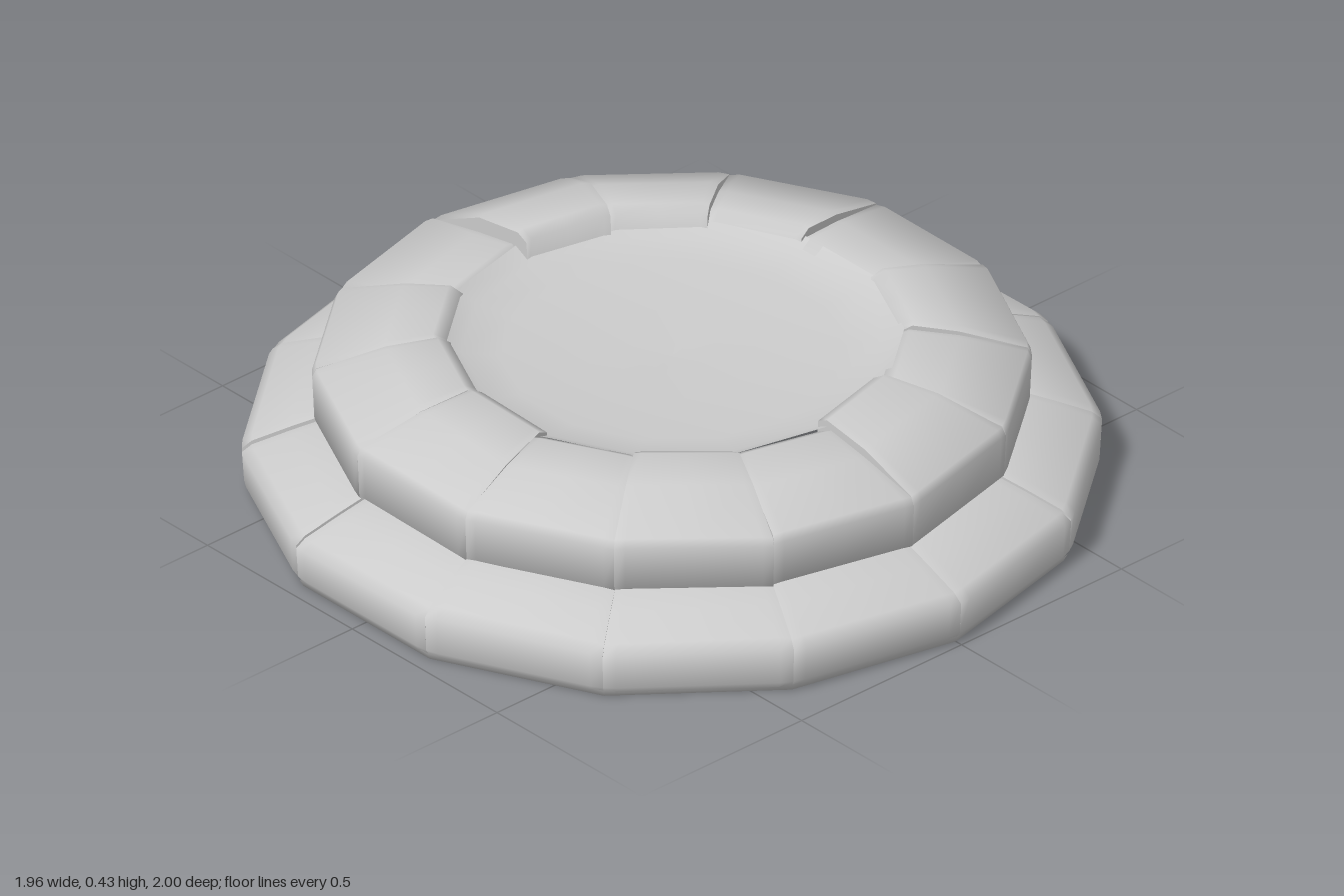
import * as THREE from 'three';
import { toCreasedNormals } from 'three/addons/utils/BufferGeometryUtils.js';

const SIDES = 14;
const material = new THREE.MeshStandardMaterial({ color: 0xcccccc });

// Small seeded generator for the uneven stones
function seeded(seed) {
  return () => {
    seed = (seed * 16807) % 2147483647;
    return seed / 2147483647;
  };
}

// One stone: a closed [radius, height] section carried along one side of the ring
function stoneGeometry(index, section, wobble) {
  const ends = [0, 1].map((k) => ((index + k) / SIDES) * Math.PI * 2);
  const steps = [0, 0.07, 0.5, 0.93, 1];
  const n = section.length;
  const positions = [];
  const faces = [];

  steps.forEach((t, s) => {
    const worn = s === 0 || s === steps.length - 1 ? 0.004 : 0;
    const tilt = wobble * (t - 0.5);
    section.forEach(([r, y]) => {
      const radius = r - worn;
      const x = radius * THREE.MathUtils.lerp(Math.sin(ends[0]), Math.sin(ends[1]), t);
      const z = -radius * THREE.MathUtils.lerp(Math.cos(ends[0]), Math.cos(ends[1]), t);
      const lift = y > 0.1 ? tilt - worn : 0;
      positions.push(x, y + lift, z);
    });
  });

  for (let s = 0; s < steps.length - 1; s++) {
    for (let j = 0; j < n; j++) {
      const a = s * n + j;
      const b = s * n + ((j + 1) % n);
      faces.push(a, b, a + n, b, b + n, a + n);
    }
  }

  // End caps, fanned from the middle of the section
  [0, steps.length - 1].forEach((s) => {
    const centre = positions.length / 3;
    const sum = [0, 0, 0];
    for (let j = 0; j < n; j++) {
      for (let k = 0; k < 3; k++) sum[k] += positions[(s * n + j) * 3 + k] / n;
    }
    positions.push(...sum);
    for (let j = 0; j < n; j++) {
      const a = s * n + j;
      const b = s * n + ((j + 1) % n);
      if (s === 0) faces.push(centre, b, a);
      else faces.push(centre, a, b);
    }
  });

  const geometry = new THREE.BufferGeometry();
  geometry.setAttribute('position', new THREE.Float32BufferAttribute(positions, 3));
  geometry.setIndex(faces);
  return toCreasedNormals(geometry, 1.3);
}

// A ring of stones; sectionAt gives the section for each stone
function stoneRing(name, stoneName, sectionAt, wobbleAt) {
  const ring = new THREE.Group();
  ring.name = name;
  for (let i = 0; i < SIDES; i++) {
    const stone = new THREE.Mesh(stoneGeometry(i, sectionAt(i), wobbleAt(i)), material);
    stone.name = stoneName;
    ring.add(stone);
  }
  return ring;
}

function lathe(name, points) {
  const profile = points.map(([r, y]) => new THREE.Vector2(r, y));
  const mesh = new THREE.Mesh(new THREE.LatheGeometry(profile, SIDES), material);
  mesh.name = name;
  return mesh;
}

export function createModel() {
  const model = new THREE.Group();
  model.name = 'stoneBasin';
  const random = seeded(41);

  // Wide lower course with a sloping shoulder
  model.add(stoneRing('lowerCourse', 'lowerStone', () => {
    const d = (random() - 0.5) * 0.014;
    return [
      [0.74, 0.01], [0.98, 0.003], [0.998, 0.03], [1.003, 0.12 + d],
      [0.98, 0.14 + d], [0.89, 0.175 + d], [0.82, 0.2 + d], [0.74, 0.2 + d],
    ];
  }, () => (random() - 0.5) * 0.02));

  // Raised upper course, each stone with its own rim height, clockwise from the back
  const rimHeights = [
    0.43, 0.42, 0.4, 0.385, 0.4, 0.39, 0.405,
    0.385, 0.4, 0.395, 0.4, 0.405, 0.4, 0.385,
  ];
  model.add(stoneRing('upperCourse', 'upperStone', (i) => {
    const top = rimHeights[i];
    const inner = 0.52 + (random() - 0.5) * 0.03;
    return [
      [inner - 0.01, 0.26], [0.81, 0.18], [0.835, 0.2], [0.84, 0.31],
      [0.83, 0.33], [0.67, top - 0.02], [inner + 0.03, top], [inner, top - 0.015],
    ];
  }, () => (random() - 0.5) * 0.018));

  // Shallow dished floor inside the ring, and the flat underside
  model.add(lathe('floor', [
    [0.54, 0.385], [0.49, 0.36], [0.4, 0.345], [0.2, 0.335], [0, 0.33],
  ]));
  model.add(lathe('underside', [[0, 0], [0.98, 0], [0.99, 0.02]]));

  return model;
}
